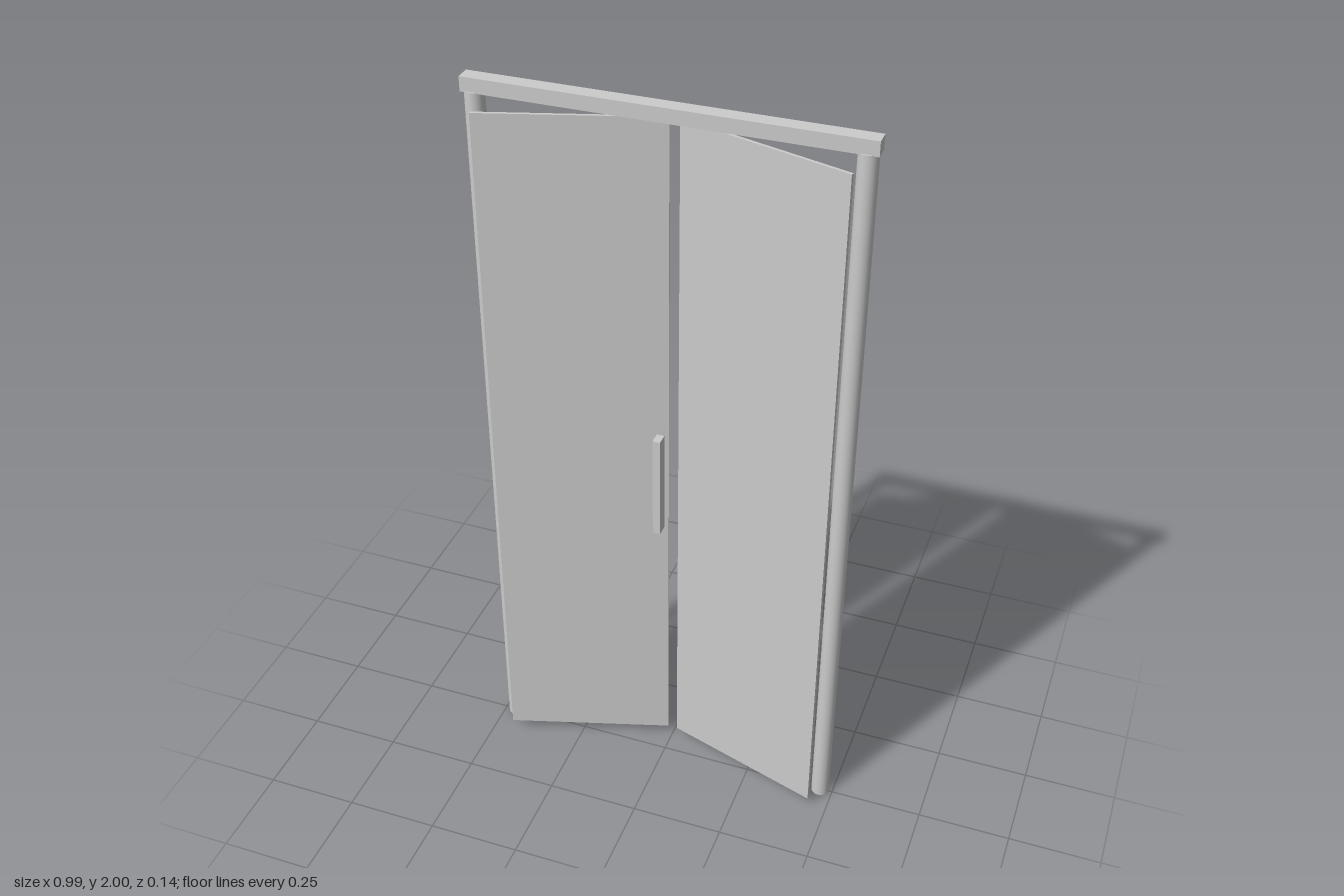
import * as THREE from 'three';

export function createModel() {
  const group = new THREE.Group();
  const material = new THREE.MeshStandardMaterial({ color: 0xcccccc });

  function add(name, geometry, x, y, z = 0, turn = 0) {
    const mesh = new THREE.Mesh(geometry, material);
    mesh.name = name;
    mesh.position.set(x, y, z);
    mesh.rotation.y = turn;
    group.add(mesh);
  }

  // top rail
  add('topRail', new THREE.BoxGeometry(0.986, 0.037, 0.04), 0, 1.9815);

  // round posts and angled door panels, mirrored
  const post = new THREE.CylinderGeometry(0.0245, 0.0245, 1.965, 24);
  const panel = new THREE.BoxGeometry(0.455, 1.914, 0.008);
  for (const [side, s] of [['left', 1], ['right', -1]]) {
    add(side + 'Post', post, s * 0.465, 0.9825);
    add(side + 'Panel', panel, s * 0.2315, 0.982, 0, -s * 0.3);
  }

  // pull handle in front of the gap between the panels
  add('handle', new THREE.BoxGeometry(0.02, 0.288, 0.032), 0, 0.985, 0.049);

  return group;
}
